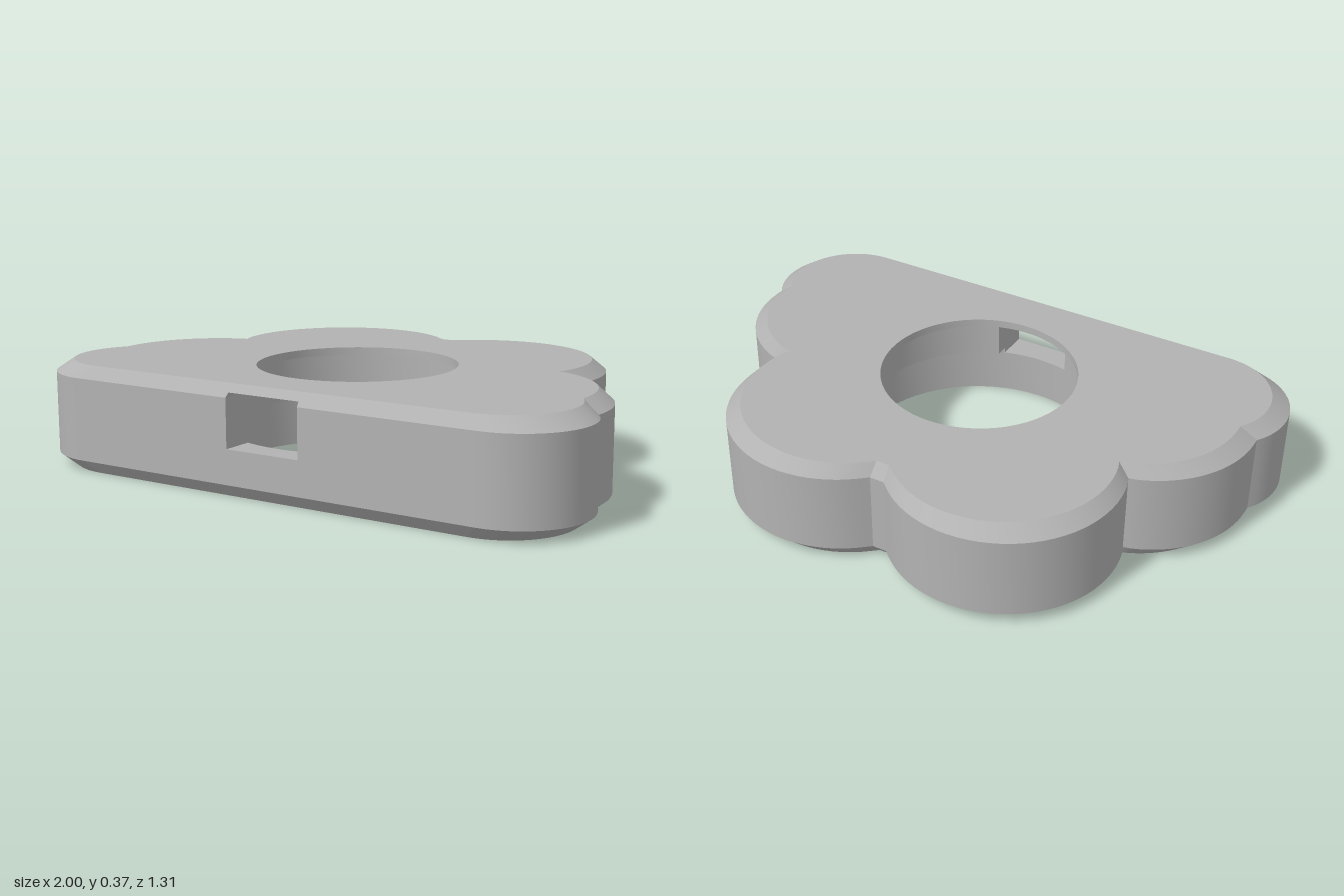
import * as THREE from 'three';
import { mergeGeometries } from 'three/addons/utils/BufferGeometryUtils.js';

const H = 0.367, LOW = 0.043, HIGH = 0.325;   // height and chamfer lines
const SCALE = 0.94, PIVOT = 0.09;             // chamfer shrinks the outline
const FRONT = 0.655, HOLE_Z = 0.11;
const R_TOP = 0.34, R_MID = 0.41, R_LOW = 0.455, LEDGE = 0.18;
const WIN = { x: 0.137, y0: 0.16, y1: 0.34 };

// Points on a circle in plan, running counterclockwise seen from above
function arc(cx, cz, r, t0, t1, n) {
  return Array.from({ length: n + 1 }, (_, i) => {
    const t = t0 + (t1 - t0) * i / n;
    return [cx + r * Math.cos(t), cz - r * Math.sin(t)];
  });
}

// Arc between two given junction points
function arcBetween(cx, cz, r, a, b, n) {
  const ang = p => Math.atan2(cz - p[1], p[0] - cx);
  const pts = arc(cx, cz, r, ang(a), ang(b), n);
  pts[0] = a;
  pts[n] = b;
  return pts;
}

// Lift plan points to a height, shrinking within the chamfers
function lift(pts, y) {
  const k = Math.max(0, (LOW - y) / LOW, (y - HIGH) / (H - HIGH));
  const s = 1 - (1 - SCALE) * k;
  return pts.map(([x, z]) => [x * s, y, PIVOT + (z - PIVOT) * s]);
}
const flat = (pts, y) => pts.map(([x, z]) => [x, y, z]);

// Smooth surface between two rows of points
function strip(a, b) {
  const n = a.length, index = [];
  for (let i = 0; i < n - 1; i++) index.push(i, i + 1, n + i, i + 1, n + i + 1, n + i);
  const g = new THREE.BufferGeometry();
  g.setAttribute('position', new THREE.Float32BufferAttribute([...a, ...b].flat(), 3));
  g.setIndex(index);
  g.computeVertexNormals();
  return g;
}

// Flat plate with a round hole, facing up or down
function cap(outline, y, r, up) {
  const d = up ? -1 : 1;
  const to2 = pts => pts.map(([x, z]) => new THREE.Vector2(x, d * z));
  const shape = new THREE.Shape(to2(lift(outline, y).map(p => [p[0], p[2]])));
  shape.holes.push(new THREE.Path(to2(arc(0, HOLE_Z, r, 0, Math.PI * 2, 64).slice(0, -1))));
  return new THREE.ShapeGeometry(shape).rotateX(d * Math.PI / 2).translate(0, y, 0);
}

export function createModel() {
  const group = new THREE.Group();
  const grey = new THREE.MeshStandardMaterial({ color: 0xb2b2b2, side: THREE.DoubleSide });
  grey.name = 'grey';
  const add = (name, geos) => {
    const mesh = new THREE.Mesh(mergeGeometries(geos), grey);
    mesh.name = name;
    group.add(mesh);
  };

  // Cloud outline: three lobes on each side and a short flat in the back notch
  const j0 = [0.755, FRONT], j1 = [0.954, 0.268], j2 = [0.68, -0.13], j3 = [0.025, -0.538];
  const right = [
    arcBetween(0.755, 0.41, 0.245, j0, j1, 20),
    arcBetween(0.58, 0.23, 0.375, j1, j2, 20),
    arcBetween(0.31, -0.262, 0.395, j2, j3, 32),
  ];
  const left = right.map(a => a.map(([x, z]) => [-x, z]).reverse()).reverse();
  const lobes = [...right, [j3, [-j3[0], j3[1]]], ...left];
  const outline = lobes.flatMap(a => a.slice(0, -1));
  outline.push([-0.755, FRONT]);

  // Sides with chamfers above and below
  const wall = [], chamfer = [];
  for (const a of lobes) {
    wall.push(strip(lift(a, LOW), lift(a, HIGH)));
    chamfer.push(strip(lift(a, 0), lift(a, LOW)), strip(lift(a, HIGH), lift(a, H)));
  }
  add('lobeWalls', wall);
  add('chamfers', chamfer);

  // Flat front, left open at the window
  const front = [], levels = [0, LOW, WIN.y0, HIGH, WIN.y1, H];
  const xs = [-0.755, -WIN.x, WIN.x, 0.755];
  for (let i = 0; i < 3; i++) {
    const edge = [[xs[i], FRONT], [xs[i + 1], FRONT]];
    for (let k = 0; k < 5; k++) {
      if (i === 1 && (k === 2 || k === 3)) continue;
      front.push(strip(lift(edge, levels[k]), lift(edge, levels[k + 1])));
    }
  }
  add('frontFace', front);

  add('topFace', [cap(outline, H, R_TOP, true)]);
  add('bottomFace', [cap(outline, 0, R_LOW, false)]);

  // Stepped round opening; the arcs stop at the window
  const ring = (r, gap) => arc(0, HOLE_Z, r, Math.PI * 1.5 - gap, -Math.PI / 2 + gap, 64);
  const gapMid = Math.asin(WIN.x / R_MID), gapLow = Math.asin(WIN.x / R_LOW);
  const lip = ring(R_TOP, 0), mid = ring(R_MID, gapMid), low = ring(R_LOW, gapLow);
  const full = ring(R_LOW, 0), under = ring(R_MID, 0);
  add('openingWalls', [
    strip(flat(lip, WIN.y1), flat(lip, H)),
    strip(flat(mid, LEDGE), flat(mid, WIN.y1)),
    strip(flat(low, WIN.y0), flat(low, LEDGE)),
    strip(flat(full, 0), flat(full, WIN.y0)),
  ]);
  add('openingLedges', [
    strip(flat(under, WIN.y1), flat(lip, WIN.y1)),
    strip(flat(low, LEDGE), flat(mid, LEDGE)),
  ]);

  // Window tunnel from the front into the opening
  const tunnel = [];
  const inner = (r, g) => arc(0, HOLE_Z, r, -Math.PI / 2 - g, -Math.PI / 2 + g, 12);
  const outer = pts => pts.map(([x]) => [x, FRONT]);
  const floorArc = inner(R_LOW, gapLow), roofArc = inner(R_MID, gapMid);
  tunnel.push(strip(lift(outer(floorArc), WIN.y0), flat(floorArc, WIN.y0)));
  tunnel.push(strip(flat(roofArc, WIN.y1), lift(outer(roofArc), WIN.y1)));
  const zLow = floorArc[0][1], zMid = roofArc[0][1];
  for (const s of [-1, 1]) {
    const x = s * WIN.x;
    for (const [y0, y1, z] of [[WIN.y0, LEDGE, zLow], [LEDGE, HIGH, zMid], [HIGH, WIN.y1, zMid]]) {
      const a = [[x, y0, z], [x, y1, z]];
      const b = [y0, y1].map(y => lift([[x, FRONT]], y)[0]);
      tunnel.push(s < 0 ? strip(a, b) : strip(b, a));
    }
  }
  // Face the side panels into the tunnel
  for (const g of tunnel.slice(2)) {
    const x = g.attributes.position.getX(0);
    if (g.attributes.normal.getX(0) * x > 0) {
      g.setIndex([...g.index.array].reverse());
      g.computeVertexNormals();
    }
  }
  add('frontWindow', tunnel);

  return group;
}
